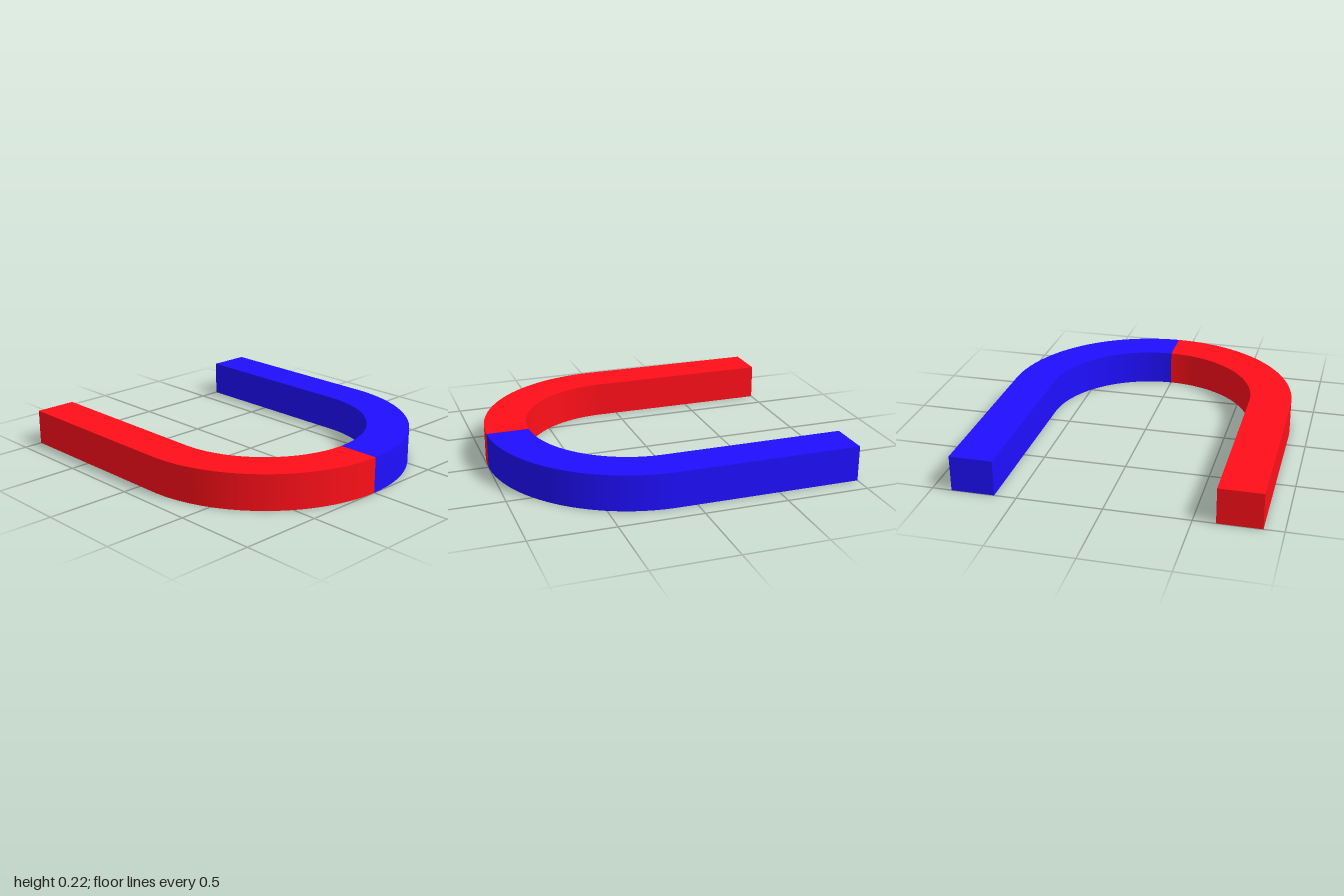
import * as THREE from 'three';

const OUTER = 0.885, INNER = 0.63; // bend radii
const BACK = -1, BEND = 0.115;     // z of the pole ends and of the bend centre
const HEIGHT = 0.215;

// One half of the horseshoe: a straight leg and a quarter bend (side = 1 or -1)
function magnetHalf(name, side, color) {
  const start = side > 0 ? 0 : Math.PI, middle = Math.PI / 2;
  const shape = new THREE.Shape();
  shape.moveTo(side * INNER, BACK);
  shape.lineTo(side * OUTER, BACK);
  shape.lineTo(side * OUTER, BEND);
  shape.absarc(0, BEND, OUTER, start, middle, side < 0);
  shape.lineTo(0, BEND + INNER);
  shape.absarc(0, BEND, INNER, middle, start, side > 0);
  shape.closePath();

  // Lay the plan flat: shape y becomes z, thickness runs downward
  const geometry = new THREE.ExtrudeGeometry(shape, { depth: HEIGHT, bevelEnabled: false, curveSegments: 24 });
  geometry.rotateX(Math.PI / 2);
  geometry.translate(0, HEIGHT, 0);

  const mesh = new THREE.Mesh(geometry, new THREE.MeshStandardMaterial({ color }));
  mesh.name = name;
  return mesh;
}

export function createModel() {
  const magnet = new THREE.Group();
  magnet.name = 'horseshoeMagnet';
  magnet.add(
    magnetHalf('redPole', -1, 0xff0f19),
    magnetHalf('bluePole', 1, 0x200fff)
  );
  return magnet;
}
